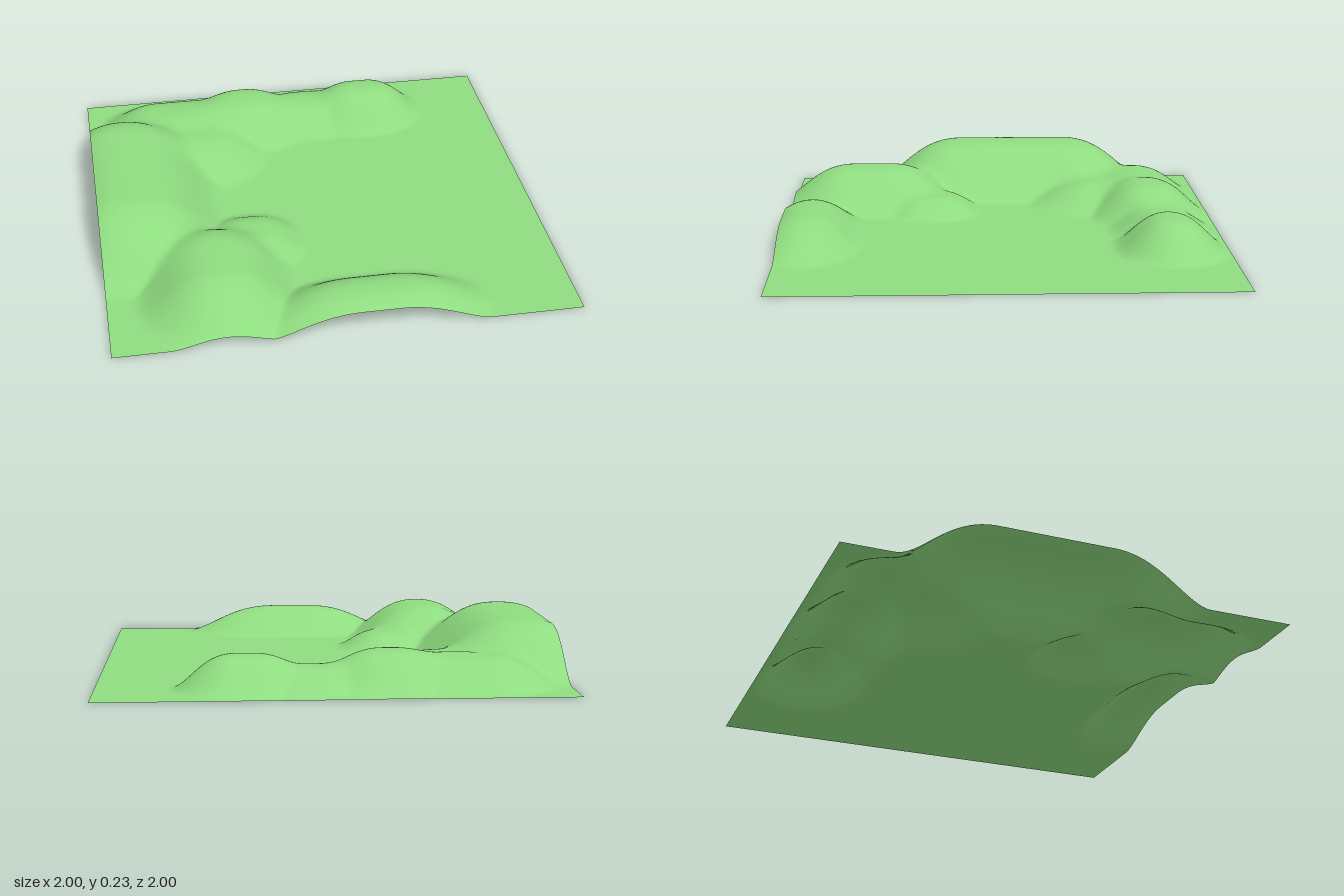
import * as THREE from 'three';

// Each hill: centre x, z, flat-core half lengths lx, lz, falloff radii rx, rz, height h
const hills = [
  { x: -0.85, z: -0.08, lx: 0.01, lz: 0.26, rx: 0.45, rz: 0.46, h: 0.231 }, // long west ridge
  { x: -0.50, z: -0.50, lx: 0.04, lz: 0.02, rx: 0.34, rz: 0.36, h: 0.110 }, // saddle in the corner
  { x: -0.58, z: -0.70, lx: 0.08, lz: 0.00, rx: 0.32, rz: 0.29, h: 0.125 }, // back shoulder
  { x: -0.23, z: -0.71, lx: 0.02, lz: 0.01, rx: 0.34, rz: 0.29, h: 0.160 }, // back hill
  { x: 0.08, z: -0.74, lx: 0.04, lz: 0.00, rx: 0.26, rz: 0.26, h: 0.100 }, // back link
  { x: 0.37, z: -0.74, lx: 0.04, lz: 0.00, rx: 0.28, rz: 0.26, h: 0.149 }, // back east hill
  { x: -0.52, z: 0.62, lx: 0.00, lz: 0.09, rx: 0.37, rz: 0.38, h: 0.178 }, // front west hill
  { x: -0.33, z: 0.32, lx: 0.03, lz: 0.03, rx: 0.22, rz: 0.22, h: 0.080 }, // small spur
  { x: 0.12, z: 0.88, lx: 0.08, lz: 0.00, rx: 0.46, rz: 0.27, h: 0.130 }, // front ridge
];

// Rounded top easing smoothly down to the flat
function hillHeight(hill, x, z) {
  const dx = Math.max(Math.abs(x - hill.x) - hill.lx, 0) / hill.rx;
  const dz = Math.max(Math.abs(z - hill.z) - hill.lz, 0) / hill.rz;
  const d = Math.hypot(dx, dz);
  return d < 1 ? hill.h * (1 - d ** 2.5) ** 2 : 0;
}

// Soft maximum of all hills
function groundHeight(x, z) {
  let sum = 0;
  for (const hill of hills) sum += hillHeight(hill, x, z) ** 4;
  return sum ** 0.25;
}

export function createModel() {
  const group = new THREE.Group();
  group.name = 'landscape';

  // Thin sheet of ground raised into hills
  const geometry = new THREE.PlaneGeometry(2, 2, 128, 128);
  geometry.rotateX(-Math.PI / 2);
  const position = geometry.attributes.position;
  for (let i = 0; i < position.count; i++) {
    position.setY(i, groundHeight(position.getX(i), position.getZ(i)));
  }
  geometry.computeVertexNormals();

  const material = new THREE.MeshStandardMaterial({ color: 0x8fdc80, side: THREE.DoubleSide });
  const ground = new THREE.Mesh(geometry, material);
  ground.name = 'hillyGround';
  group.add(ground);
  return group;
}
